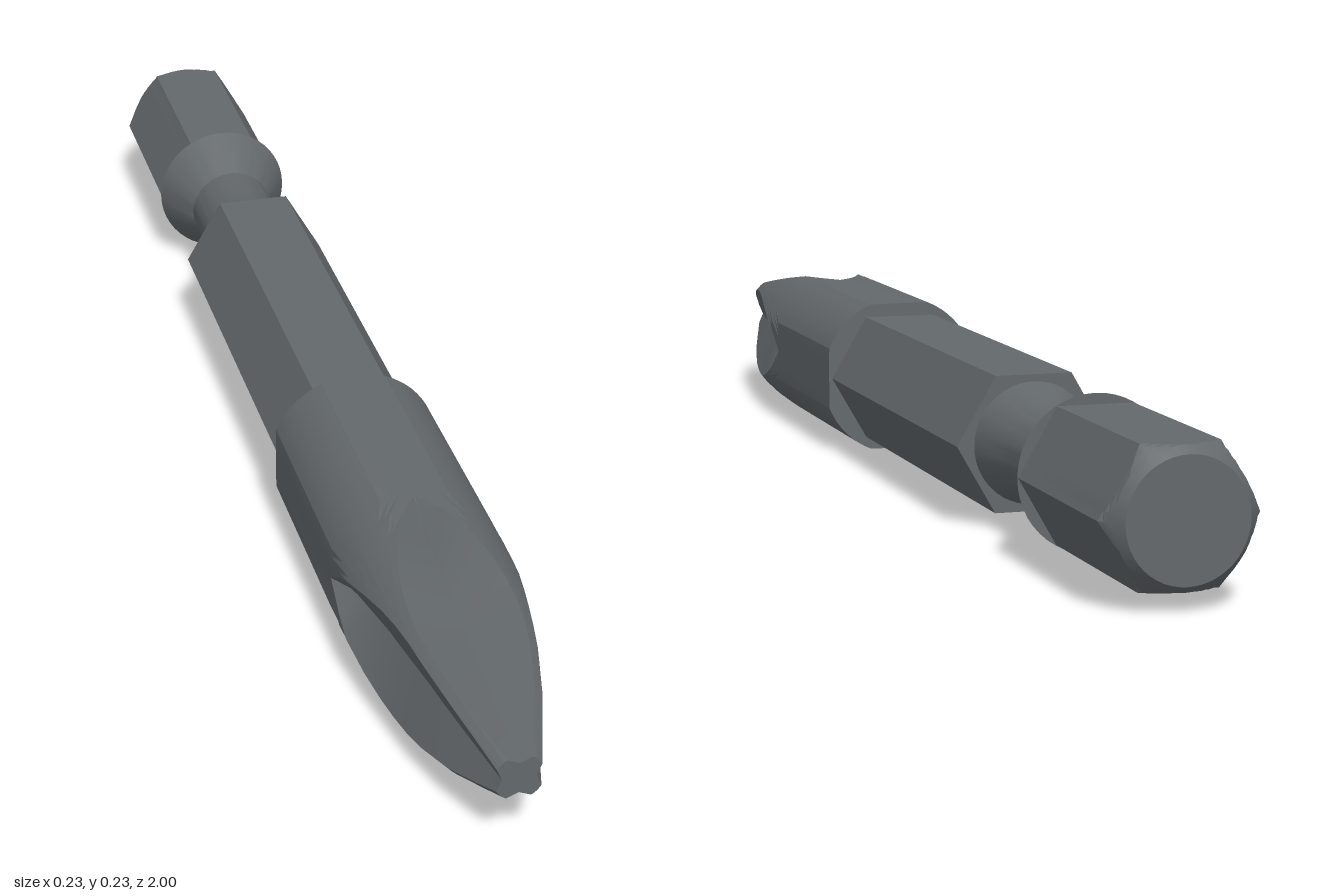
import * as THREE from 'three';
import { toCreasedNormals } from 'three/addons/utils/BufferGeometryUtils.js';

const FLAT = 0.114; // distance from the axis to the four sleeve flats

// Skin closed rings (counter-clockwise seen from +z) ordered by rising z, capped at both ends
function loft(sections) {
  const n = sections[0].ring.length;
  const pos = [], index = [];
  for (const { z, ring } of sections) for (const [x, y] of ring) pos.push(x, y, z);
  for (let i = 0; i < sections.length - 1; i++) {
    for (let j = 0; j < n; j++) {
      const a = i * n + j, b = i * n + (j + 1) % n;
      index.push(a, b, b + n, a, b + n, a + n);
    }
  }
  const back = pos.length / 3, front = back + 1, last = (sections.length - 1) * n;
  pos.push(0, 0, sections[0].z, 0, 0, sections[sections.length - 1].z);
  for (let j = 0; j < n; j++) {
    const k = (j + 1) % n;
    index.push(back, k, j, front, last + j, last + k);
  }
  const geo = new THREE.BufferGeometry();
  geo.setAttribute('position', new THREE.Float32BufferAttribute(pos, 3));
  geo.setIndex(index);
  return toCreasedNormals(geo, 0.35);
}

// Ring from a radius that depends on the angle
function polarRing(radiusAt, n = 48) {
  return Array.from({ length: n }, (_, i) => {
    const a = (i / n) * Math.PI * 2, r = radiusAt(a);
    return [r * Math.cos(a), r * Math.sin(a)];
  });
}

// Hexagon radius, corners on +x and -x
function hexRadius(a, corner) {
  const sector = Math.PI / 3;
  const off = (a + 1e-9) % sector - sector / 2;
  return corner * Math.cos(sector / 2) / Math.cos(off);
}

// Fluted ring: valley on each axis, a rib on each diagonal
function flutedRing(valley, halfWidth, radius) {
  const edgeY = Math.min(FLAT, Math.sqrt(radius ** 2 - halfWidth ** 2));
  const start = Math.atan2(halfWidth, edgeY), end = Math.PI / 2 - start;
  const ring = [], steps = 16;
  for (let q = 0; q < 4; q++) {
    const turn = q * Math.PI / 2;
    ring.push([valley * Math.cos(turn), valley * Math.sin(turn)]);
    for (let i = 0; i <= steps; i++) {
      const a = start + (end - start) * i / steps;
      const r = Math.min(radius, FLAT / Math.max(Math.cos(a), Math.sin(a)));
      ring.push([r * Math.cos(a + turn), r * Math.sin(a + turn)]);
    }
  }
  return ring;
}

export function createModel() {
  const model = new THREE.Group();
  model.name = 'screwdriverBit';
  const steel = new THREE.MeshStandardMaterial({ color: 0x63686b });
  steel.name = 'dark steel';

  const add = (name, sections) => {
    const mesh = new THREE.Mesh(loft(sections), steel);
    mesh.name = name;
    mesh.position.y = FLAT;
    model.add(mesh);
  };

  // Sleeve running into the cross tip: z, valley depth, flute half width, rib radius
  add('sleeveAndCrossTip', [
    [0.2, FLAT, 0.0005, 0.123],
    [0.52, FLAT, 0.0005, 0.123],
    [0.565, 0.085, 0.03, 0.123],
    [0.6, 0.08, 0.046, 0.1225],
    [0.66, 0.071, 0.061, 0.121],
    [0.71, 0.064, 0.069, 0.118],
    [0.75, 0.058, 0.0715, 0.114],
    [0.79, 0.052, 0.07, 0.108],
    [0.83, 0.047, 0.064, 0.099],
    [0.9, 0.037, 0.049, 0.077],
    [0.96, 0.028, 0.03, 0.051],
    [1, 0.022, 0.016, 0.033],
  ].map(([z, v, w, r]) => ({ z, ring: flutedRing(v, w, r) })));

  // Main hexagonal shank
  const shankRing = polarRing((a) => hexRadius(a, 0.109));
  add('hexShank', [-0.44, 0.21].map((z) => ({ z, ring: shankRing })));

  // Round retaining groove with its flared collar
  add('neckGroove', [
    [-0.68, 0.105], [-0.605, 0.065], [-0.515, 0.065], [-0.435, 0.086],
  ].map(([z, r]) => ({ z, ring: polarRing(() => r) })));

  // Rear hexagonal drive end, its back edge trimmed by a cone
  add('hexDriveEnd', [-1, -0.994, -0.988, -0.982, -0.976, -0.97, -0.679].map((z) => ({
    z,
    ring: polarRing((a) => Math.min(hexRadius(a, 0.104), 0.08 + (z + 1) * 0.8)),
  })));

  return model;
}
